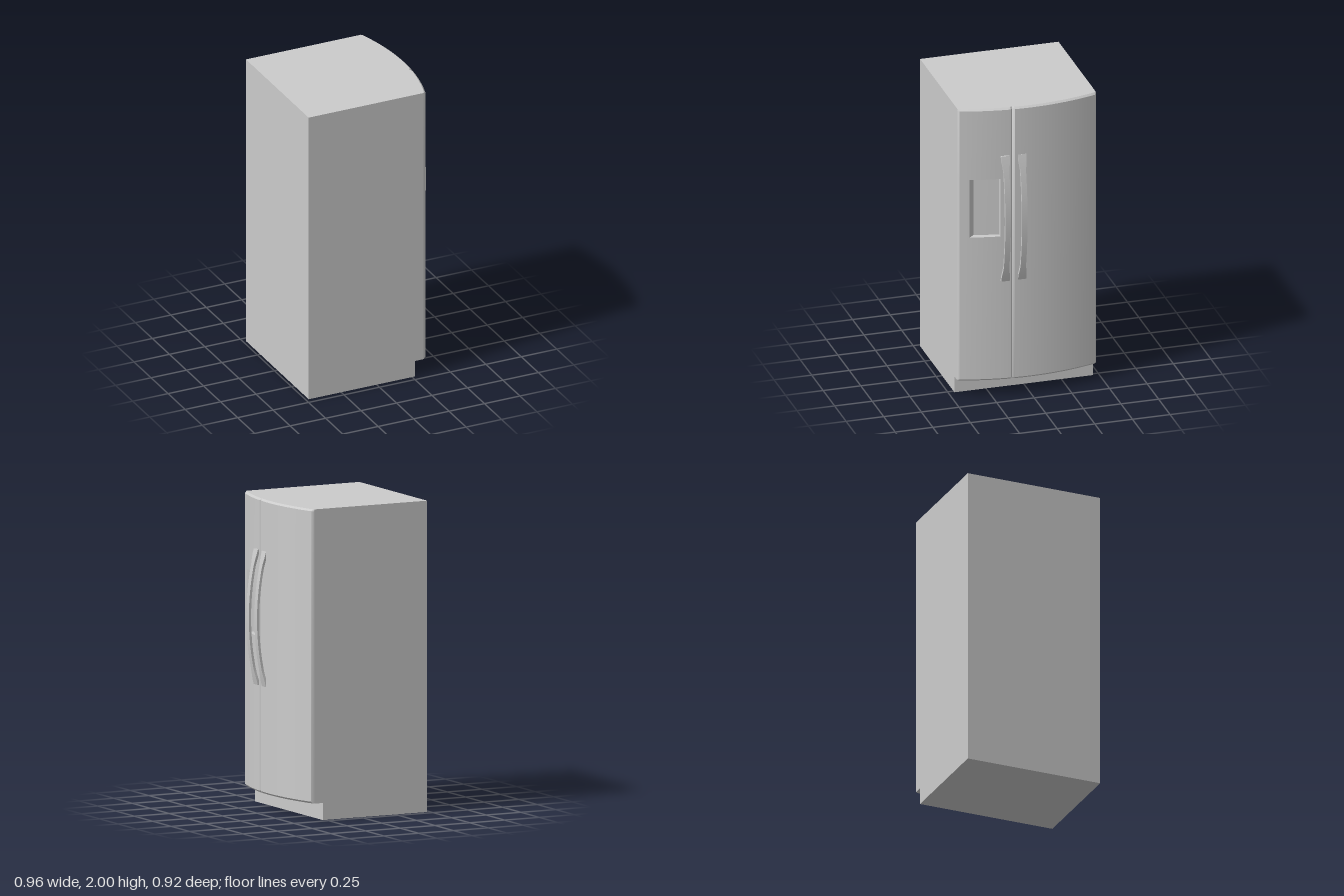
import * as THREE from 'three';
import { toCreasedNormals } from 'three/addons/utils/BufferGeometryUtils.js';

const HALF = 0.46, TOP = 2, SILL = 0.11, BEVEL = 0.012, SPLIT = 0.117, BACK = 0.33;

const material = new THREE.MeshStandardMaterial({ color: 0xcccccc });

function part(name, geometry) {
  const mesh = new THREE.Mesh(geometry, material);
  mesh.name = name;
  return mesh;
}

// Joins horizontal rings { y, pts: [[x, z], ...] } from bottom to top and caps both ends.
function loft(rings, crease = 0.6) {
  const pos = [];
  const at = (r, j) => {
    const [x, z] = r.pts[j % r.pts.length];
    return new THREE.Vector3(x, r.y, z);
  };
  const tri = (a, b, c) => {
    const area = b.clone().sub(a).cross(c.clone().sub(a)).length();
    if (area > 1e-9) for (const p of [a, b, c]) pos.push(p.x, p.y, p.z);
  };
  const n = rings[0].pts.length;
  for (let i = 0; i < rings.length - 1; i++) {
    const lo = rings[i], hi = rings[i + 1];
    for (let j = 0; j < n; j++) {
      tri(at(lo, j), at(lo, j + 1), at(hi, j + 1));
      tri(at(lo, j), at(hi, j + 1), at(hi, j));
    }
  }
  const first = rings[0], last = rings[rings.length - 1];
  const centre = (r) => {
    const c = new THREE.Vector3();
    for (let j = 0; j < n; j++) c.add(at(r, j));
    return c.divideScalar(n);
  };
  const c0 = centre(first), c1 = centre(last);
  for (let j = 0; j < n; j++) {
    tri(c0, at(first, j + 1), at(first, j));
    tri(c1, at(last, j), at(last, j + 1));
  }
  const g = new THREE.BufferGeometry();
  g.setAttribute('position', new THREE.Float32BufferAttribute(pos, 3));
  return toCreasedNormals(g, crease);
}

// Bowed front shared by both doors
const bow = (z) => 0.42 - 0.07 * (z / 0.45) ** 2;

function arc(z0, z1, steps) {
  return Array.from({ length: steps + 1 }, (_, i) => {
    const z = z0 + (z1 - z0) * i / steps;
    return [bow(z), z];
  });
}

// Top and bottom edges of a door are chamfered by pulling the front back
const chamfer = (pts) => pts.map(([x, z]) => [Math.max(BACK, x - BEVEL), z]);

function doorRings(plain, middle = []) {
  return [
    { y: SILL, pts: chamfer(plain) },
    { y: SILL + BEVEL, pts: plain },
    ...middle,
    { y: TOP - BEVEL, pts: plain },
    { y: TOP, pts: chamfer(plain) },
  ];
}

function wideDoor() {
  const pts = [
    [BACK, SPLIT], [0.402, SPLIT],
    ...arc(0.104, -0.45, 18),
    [0.335, -HALF], [BACK, -HALF],
  ];
  return loft(doorRings(pts));
}

function narrowDoor() {
  const outer = [[BACK, HALF], [0.335, HALF], ...arc(0.45, 0.4, 2)];
  const inner = [...arc(0.185, 0.13, 3), [0.402, SPLIT], [BACK, SPLIT]];
  const zs = [0.39, 0.355, 0.315, 0.275, 0.235, 0.195, 0.195];
  const depth = [0, 0.04, 0.039, 0.037, 0.035, 0.032, 0];
  const plain = [...outer, ...zs.map((z) => [bow(z), z]), ...inner];
  const hollow = [...outer, ...zs.map((z, i) => [bow(z) - depth[i], z]), ...inner];
  // Doubled rings form the floor and ceiling of the dispenser recess
  return loft(doorRings(plain, [
    { y: 1.11, pts: plain }, { y: 1.11, pts: hollow },
    { y: 1.51, pts: hollow }, { y: 1.51, pts: plain },
  ]));
}

// Bowed grip, flared at both ends
function handle(z) {
  const steps = 24, rings = [];
  for (let i = 0; i <= steps; i++) {
    const t = i / steps * 2 - 1;
    const xo = 0.48 - 0.059 * t * t, xi = xo - 0.016;
    const w = 0.018 + 0.01 * THREE.MathUtils.smoothstep(Math.abs(t), 0.75, 0.95);
    rings.push({
      y: 1.235 + 0.435 * t,
      pts: [[xi, z + w], [xo, z + w], [xo, z - w], [xi, z - w]],
    });
  }
  return loft(rings);
}

export function createModel() {
  const group = new THREE.Group();
  group.name = 'refrigerator';

  // Cabinet with a recessed toe kick
  const side = new THREE.Shape([
    [-0.48, 0], [0.27, 0], [0.27, SILL], [BACK, SILL], [BACK, TOP], [-0.48, TOP],
  ].map(([x, y]) => new THREE.Vector2(x, y)));
  const cabinet = new THREE.ExtrudeGeometry(side, { depth: 2 * HALF, bevelEnabled: false });
  cabinet.translate(0, 0, -HALF);
  group.add(part('cabinet', cabinet));

  // Doors
  group.add(part('fridgeDoor', wideDoor()));
  group.add(part('freezerDoor', narrowDoor()));

  // Handles on either side of the split
  group.add(part('fridgeHandle', handle(0.056)));
  group.add(part('freezerHandle', handle(0.167)));
  return group;
}
